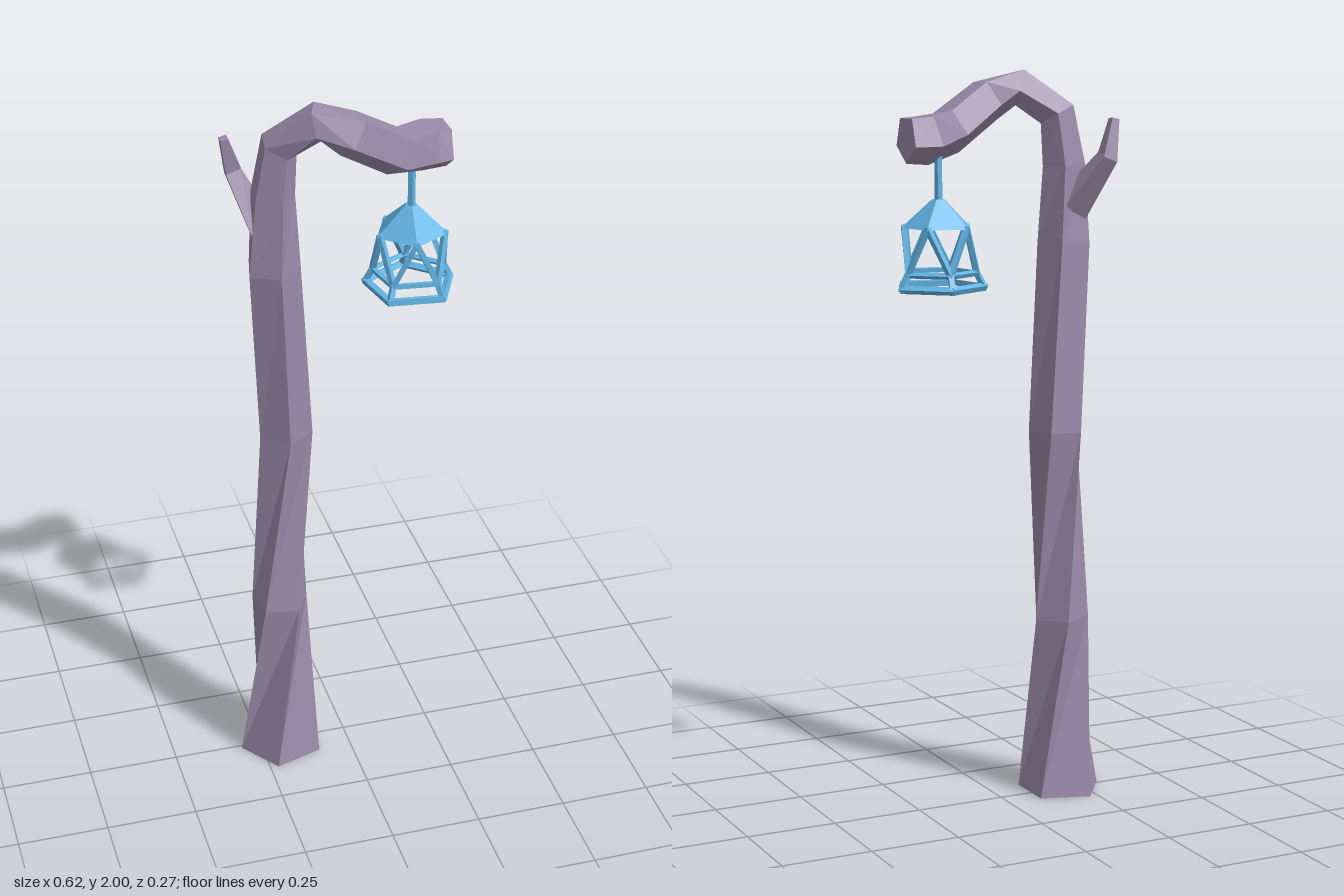
import * as THREE from 'three';

const rad = THREE.MathUtils.degToRad;
const V = (x, y, z) => new THREE.Vector3(x, y, z);
const wood = new THREE.MeshStandardMaterial({ color: 0x9a89a8, flatShading: true });
const metal = new THREE.MeshStandardMaterial({ color: 0x63b5e5, flatShading: true });

// Skins a closed limb over rings of [x, y, z, radius, twist in degrees]
function limb(name, rings, sides, startDir) {
  const pos = [], index = [];
  const centre = rings.map(r => V(r[0], r[1], r[2]));
  const last = rings.length - 1;
  rings.forEach(([, , , r, twist], i) => {
    const t = i === 0 && startDir
      ? startDir
      : centre[Math.min(i + 1, last)].clone().sub(centre[Math.max(i - 1, 0)]).normalize();
    const n = V(0, 0, 1).cross(t).normalize();
    const b = t.clone().cross(n);
    for (let j = 0; j < sides; j++) {
      const a = rad(twist) + (j / sides) * Math.PI * 2;
      const p = centre[i].clone().addScaledVector(n, r * Math.cos(a)).addScaledVector(b, r * Math.sin(a));
      pos.push(p.x, p.y, p.z);
      if (i < last) {
        const k = (j + 1) % sides, p0 = i * sides, p1 = p0 + sides;
        index.push(p0 + j, p0 + k, p1 + k, p0 + j, p1 + k, p1 + j);
      }
    }
  });
  // End caps
  for (let j = 1; j < sides - 1; j++) {
    const e = last * sides;
    index.push(0, j + 1, j, e, e + j, e + j + 1);
  }
  const geo = new THREE.BufferGeometry();
  geo.setAttribute('position', new THREE.Float32BufferAttribute(pos, 3));
  geo.setIndex(index);
  const flat = geo.toNonIndexed();
  flat.computeVertexNormals();
  const mesh = new THREE.Mesh(flat, wood);
  mesh.name = name;
  return mesh;
}

// Square bar between two points
function bar(name, a, b, width) {
  const geo = new THREE.BoxGeometry(width, a.distanceTo(b) + width * 0.6, width);
  const mesh = new THREE.Mesh(geo, metal);
  mesh.name = name;
  mesh.position.copy(a).lerp(b, 0.5);
  mesh.quaternion.setFromUnitVectors(V(0, 1, 0), b.clone().sub(a).normalize());
  return mesh;
}

function createLantern() {
  const g = new THREE.Group();
  g.name = 'lantern';
  g.position.set(0.185, 0, -0.003);

  const rod = new THREE.Mesh(new THREE.CylinderGeometry(0.011, 0.011, 0.14, 5), metal);
  rod.name = 'hangingRod';
  rod.position.y = 1.72;

  const roof = new THREE.Mesh(new THREE.CylinderGeometry(0.018, 0.1, 0.075, 5, 1, false, rad(65)), metal);
  roof.name = 'roof';
  roof.position.y = 1.632;
  g.add(rod, roof);

  // Cage: zigzag struts from roof to middle ring, then a flared foot
  const corner = (r, y, deg, k) => V(r * Math.cos(rad(deg + 72 * k)), y, r * Math.sin(rad(deg + 72 * k)));
  for (let k = 0; k < 5; k++) {
    const top = corner(0.09, 1.597, 25, k);
    const mid = corner(0.1, 1.475, -11, k), midNext = corner(0.1, 1.475, -11, k + 1);
    const foot = corner(0.119, 1.438, -11, k), footNext = corner(0.119, 1.438, -11, k + 1);
    g.add(
      bar('strut', top, mid, 0.014),
      bar('strut', top, midNext, 0.014),
      bar('middleRing', mid, midNext, 0.012),
      bar('footStrut', mid, foot, 0.014),
      bar('footRing', foot, footNext, 0.016)
    );
  }
  return g;
}

export function createModel() {
  const model = new THREE.Group();
  model.name = 'treeLampPost';

  // Twisted trunk bending over into the arm
  model.add(limb('trunkAndArm', [
    [-0.19, 0, 0.01, 0.118, 0],
    [-0.185, 0.5, 0.008, 0.08, 45],
    [-0.158, 1.03, -0.022, 0.076, 88],
    [-0.19, 1.54, 0, 0.074, 95],
    [-0.188, 1.75, 0.002, 0.06, 104],
    [-0.172, 1.885, 0.012, 0.053, 108],
    [-0.085, 1.96, 0.06, 0.053, 108],
    [0.0, 1.927, 0.08, 0.062, 108],
    [0.13, 1.847, 0.045, 0.065, 108],
    [0.225, 1.83, -0.008, 0.07, 108],
    [0.28, 1.83, -0.008, 0.065, 108],
  ], 5, V(0, 1, 0)));

  // Short broken twig behind the trunk
  model.add(limb('twig', [
    [-0.2, 1.63, -0.015, 0.052, 45],
    [-0.262, 1.775, -0.112, 0.03, 45],
    [-0.288, 1.875, -0.098, 0.015, 45],
  ], 4));

  model.add(createLantern());
  return model;
}
